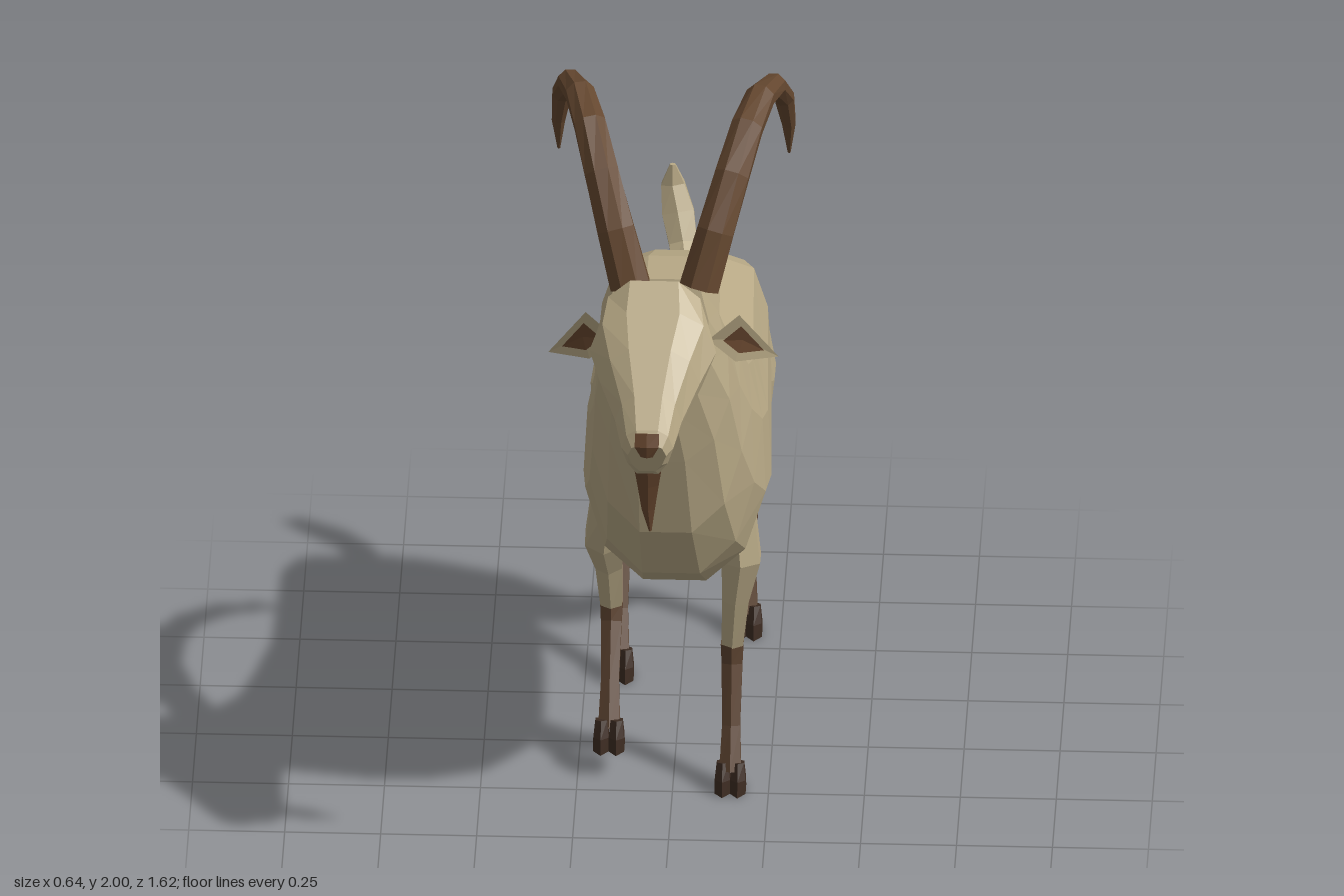
import * as THREE from 'three';

const V = (x, y, z) => new THREE.Vector3(x, y, z);
const paint = (name, color) => {
  const m = new THREE.MeshStandardMaterial({ color });
  m.name = name;
  return m;
};

// Flat-faceted geometry from a list of triangles
function facets(tris) {
  const g = new THREE.BufferGeometry().setFromPoints(tris.flat());
  g.computeVertexNormals();
  return g;
}

// Closed skin over a row of equal-count rings, always facing outward
function loft(rings) {
  const tris = [], n = rings[0].length;
  for (let i = 0; i < rings.length - 1; i++) {
    for (let k = 0; k < n; k++) {
      const a = rings[i][k], b = rings[i][(k + 1) % n];
      const c = rings[i + 1][(k + 1) % n], d = rings[i + 1][k];
      tris.push([a, b, c], [a, c, d]);
    }
  }
  const cap = (ring, flip) => {
    const mid = ring.reduce((s, p) => s.add(p), V(0, 0, 0)).divideScalar(n);
    ring.forEach((p, k) => {
      const q = ring[(k + 1) % n];
      tris.push(flip ? [mid, q, p] : [mid, p, q]);
    });
  };
  cap(rings[0], true);
  cap(rings[rings.length - 1], false);
  const volume = tris.reduce((s, [a, b, c]) => s + a.dot(b.clone().cross(c)), 0);
  return facets(volume < 0 ? tris.map(([a, b, c]) => [a, c, b]) : tris);
}

// Limb along nodes [x, y, z, half width across, half depth]
function limb(nodes, sides = 6) {
  const pts = nodes.map(([x, y, z]) => V(x, y, z));
  return loft(nodes.map(([, , , rx, rz], i) => {
    const t = pts[Math.min(i + 1, pts.length - 1)].clone().sub(pts[Math.max(i - 1, 0)]).normalize();
    const u = V(1, 0, 0).addScaledVector(t, -t.x).normalize();
    const v = t.clone().cross(u);
    return Array.from({ length: sides }, (_, k) => {
      const a = ((k + 0.5) / sides) * Math.PI * 2;
      return pts[i].clone().addScaledVector(u, Math.cos(a) * rx).addScaledVector(v, Math.sin(a) * rz);
    });
  }));
}

// Body cross-section: [top z, top y, bottom z, bottom y, half width, centre x]
function section([tz, ty, bz, by, w, cx], profile) {
  const side = (s) => profile.map(([px, py]) =>
    V(cx + s * px * w, (ty + by) / 2 + (py * (ty - by)) / 2, (tz + bz) / 2 + (py * (tz - bz)) / 2));
  return [...side(1), ...side(-1).reverse()];
}

export function createModel() {
  const coat = paint('coat', 0xb8a986);
  const horn = paint('horn', 0x64472f);
  const stocking = paint('stocking', 0x5c4330);
  const hoof = paint('hoof', 0x3d2c22);
  const skin = paint('brown skin', 0x68472f);
  const dark = paint('pupil', 0x2a1d16);
  const model = new THREE.Group();
  model.name = 'goat';
  const add = (name, geometry, material, parent = model) => {
    const m = new THREE.Mesh(geometry, material);
    m.name = name;
    parent.add(m);
    return m;
  };

  // Trunk and neck, rump to throat
  const bodyProfile = [[0.42, 1], [0.8, 0.87], [0.96, 0.4], [1, -0.22], [0.78, -0.72], [0.35, -1]];
  add('body', loft([
    [-0.67, 1.04, -0.67, 0.82, 0.11, 0],
    [-0.645, 1.11, -0.645, 0.71, 0.19, 0],
    [-0.57, 1.135, -0.57, 0.65, 0.225, 0],
    [-0.2, 1.15, -0.2, 0.61, 0.235, 0.005],
    [0, 1.2, 0.05, 0.6, 0.245, 0.005],
    [0.1, 1.25, 0.22, 0.62, 0.235, 0.005],
    [0.18, 1.33, 0.34, 0.71, 0.215, 0],
    [0.22, 1.4, 0.44, 0.89, 0.195, -0.01],
    [0.28, 1.5, 0.47, 1.12, 0.175, -0.02],
    [0.35, 1.6, 0.49, 1.28, 0.14, -0.035],
  ].map((s) => section(s, bodyProfile))), coat);

  // Head, nape to muzzle
  const headProfile = [[0.42, 1], [0.8, 0.75], [1, 0.2], [0.78, -0.5], [0.42, -1]];
  const headRings = [
    [0.34, 1.58, 0.44, 1.33, 0.115, -0.04],
    [0.43, 1.64, 0.5, 1.28, 0.15, -0.04],
    [0.51, 1.59, 0.54, 1.32, 0.165, -0.04],
    [0.6, 1.53, 0.6, 1.285, 0.13, -0.045],
    [0.7, 1.45, 0.68, 1.25, 0.087, -0.045],
    [0.775, 1.39, 0.74, 1.24, 0.068, -0.045],
    [0.8, 1.36, 0.77, 1.265, 0.05, -0.045],
  ].map((s) => section(s, headProfile));
  const head = new THREE.Group();
  head.name = 'head';
  model.add(head);
  add('skull', loft(headRings), coat, head);
  add('nose', limb([[-0.045, 1.385, 0.783, 0.036, 0.014], [-0.045, 1.355, 0.8, 0.036, 0.01],
    [-0.045, 1.325, 0.795, 0.018, 0.01]]), skin, head);
  add('beard', limb([[-0.045, 1.27, 0.715, 0.045, 0.025], [-0.045, 1.19, 0.7, 0.032, 0.024],
    [-0.045, 1.11, 0.69, 0.02, 0.018], [-0.04, 1.04, 0.69, 0.004, 0.005]]), skin, head);

  // Eyes: thin plates lying on the cheek facets
  const plate = (s, u0, u1, v0, v1, lift) => {
    const [k0, k1] = s > 0 ? [1, 2] : [8, 7];
    const at = (u, v) => {
      const a = headRings[2][k0].clone().lerp(headRings[3][k0], u);
      return a.lerp(headRings[2][k1].clone().lerp(headRings[3][k1], u), v).add(V(s * lift, lift * 0.4, lift * 0.4));
    };
    const [a, b, c, d] = [at(u0, v0), at(u0, v1), at(u1, v1), at(u1, v0)];
    return facets(s > 0 ? [[a, b, c], [a, c, d]] : [[a, c, b], [a, d, c]]);
  };
  for (const s of [1, -1]) {
    const side = s > 0 ? 'left' : 'right';
    add(side + 'Eye', plate(s, 0.2, 0.78, 0.08, 0.9, 0.005), skin, head);
    add(side + 'Pupil', plate(s, 0.35, 0.62, 0.35, 0.65, 0.008), dark, head);

    // Drooping leaf ears with a brown inside
    const px = (x) => -0.02 + s * x;
    const base = V(px(0.12), 1.46, 0.42), up = V(px(0.2), 1.525, 0.4);
    const tip = V(px(0.3), 1.365, 0.335), low = V(px(0.19), 1.385, 0.4);
    const back = V(px(0.19), 1.46, 0.345);
    const rim = [base, low, tip, up];
    const centre = V(px(0.205), 1.445, 0.385);
    const fan = (mid, ring, flip) => ring.map((p, i) => {
      const q = ring[(i + 1) % ring.length];
      return flip ? [mid, q, p] : [mid, p, q];
    });
    add(side + 'Ear', facets([...fan(centre, rim, s < 0), ...fan(back, rim, s > 0)]), coat, head);
    const inner = rim.map((p) => p.clone().lerp(centre, 0.42).add(V(s * 0.003, 0, 0.006)));
    add(side + 'InnerEar', facets(fan(centre.clone().add(V(s * 0.003, 0, 0.006)), inner, s < 0)), skin, head);

    // Backswept horns
    const hx = (x) => -0.02 + s * x + (s > 0 ? 0.01 : 0);
    add(side + 'Horn', limb([
      [hx(0.085), 1.59, 0.37, 0.056, 0.054], [hx(0.125), 1.73, 0.32, 0.052, 0.05],
      [hx(0.165), 1.85, 0.235, 0.048, 0.046], [hx(0.2), 1.935, 0.13, 0.044, 0.041],
      [hx(0.23), 1.963, 0.02, 0.04, 0.037], [hx(0.26), 1.935, -0.09, 0.034, 0.032],
      [hx(0.285), 1.85, -0.175, 0.027, 0.027], [hx(0.295), 1.75, -0.215, 0.019, 0.02],
      [hx(0.295), 1.65, -0.235, 0.004, 0.004],
    ], 8), horn, head);
  }

  // Tail
  add('tail', limb([[0, 1.05, -0.64, 0.04, 0.035], [-0.01, 1.09, -0.71, 0.042, 0.03],
    [-0.025, 1.16, -0.755, 0.048, 0.032], [-0.04, 1.23, -0.785, 0.035, 0.025],
    [-0.04, 1.29, -0.78, 0.008, 0.006]]), coat);

  // Udder with two teats
  add('udder', limb([[0.01, 0.74, -0.47, 0.11, 0.13], [0.01, 0.65, -0.46, 0.1, 0.11],
    [0.01, 0.59, -0.45, 0.065, 0.06]], 8), skin);
  for (const x of [-0.035, 0.055]) {
    add('teat', limb([[x, 0.62, -0.44, 0.03, 0.03], [x, 0.555, -0.435, 0.012, 0.012]]), skin);
  }

  // Legs: furred upper part, brown lower part, cloven hoof
  const leg = (name, x, upper, lower, [hz, hy]) => {
    const g = new THREE.Group();
    g.name = name;
    model.add(g);
    const place = (nodes) => nodes.map(([dx, ...rest]) => [x + Math.sign(x) * dx, ...rest]);
    add('upperLeg', limb(place(upper)), coat, g);
    add('lowerLeg', limb(place(lower)), stocking, g);
    for (const d of [-0.02, 0.02]) {
      add('hoof', limb([[x + d, hy + 0.075, hz - 0.012, 0.018, 0.026],
        [x + d, hy + 0.035, hz, 0.023, 0.043], [x + d, hy, hz, 0.024, 0.05]]), hoof, g);
    }
  };
  leg('frontLeftLeg', 0.15,
    [[0.01, 0.82, 0.1, 0.05, 0.08], [0.025, 0.64, 0.135, 0.058, 0.065], [0.01, 0.52, 0.13, 0.04, 0.043], [0, 0.36, 0.1, 0.032, 0.033]],
    [[0, 0.365, 0.1, 0.034, 0.036], [0, 0.31, 0.11, 0.031, 0.03], [0, 0.16, 0.175, 0.027, 0.024], [0, 0.05, 0.225, 0.033, 0.032]],
    [0.23, 0]);
  leg('frontRightLeg', -0.17,
    [[0, 0.82, 0.08, 0.05, 0.08], [0.015, 0.64, 0.04, 0.058, 0.065], [0.005, 0.54, 0, 0.04, 0.043], [0, 0.39, -0.045, 0.032, 0.033]],
    [[0, 0.395, -0.045, 0.034, 0.036], [0, 0.35, -0.025, 0.031, 0.03], [0, 0.22, 0.06, 0.027, 0.024], [0, 0.11, 0.12, 0.033, 0.03]],
    [0.135, 0.065]);
  leg('hindLeftLeg', 0.16,
    [[0, 0.95, -0.56, 0.06, 0.07], [0.005, 0.8, -0.555, 0.082, 0.105], [0.005, 0.64, -0.53, 0.06, 0.085], [0, 0.55, -0.55, 0.043, 0.055], [0, 0.37, -0.675, 0.03, 0.034]],
    [[0, 0.385, -0.67, 0.033, 0.036], [0, 0.32, -0.67, 0.03, 0.032], [0, 0.16, -0.635, 0.026, 0.025], [0, 0.05, -0.6, 0.033, 0.032]],
    [-0.585, 0]);
  leg('hindRightLeg', -0.165,
    [[0, 0.95, -0.53, 0.06, 0.07], [0.005, 0.8, -0.5, 0.082, 0.11], [0.005, 0.65, -0.42, 0.06, 0.085], [0, 0.56, -0.4, 0.043, 0.055], [0, 0.35, -0.515, 0.03, 0.034]],
    [[0, 0.365, -0.51, 0.033, 0.036], [0, 0.3, -0.495, 0.03, 0.03], [0, 0.16, -0.42, 0.026, 0.025], [0, 0.05, -0.36, 0.033, 0.032]],
    [-0.345, 0]);

  return model;
}
